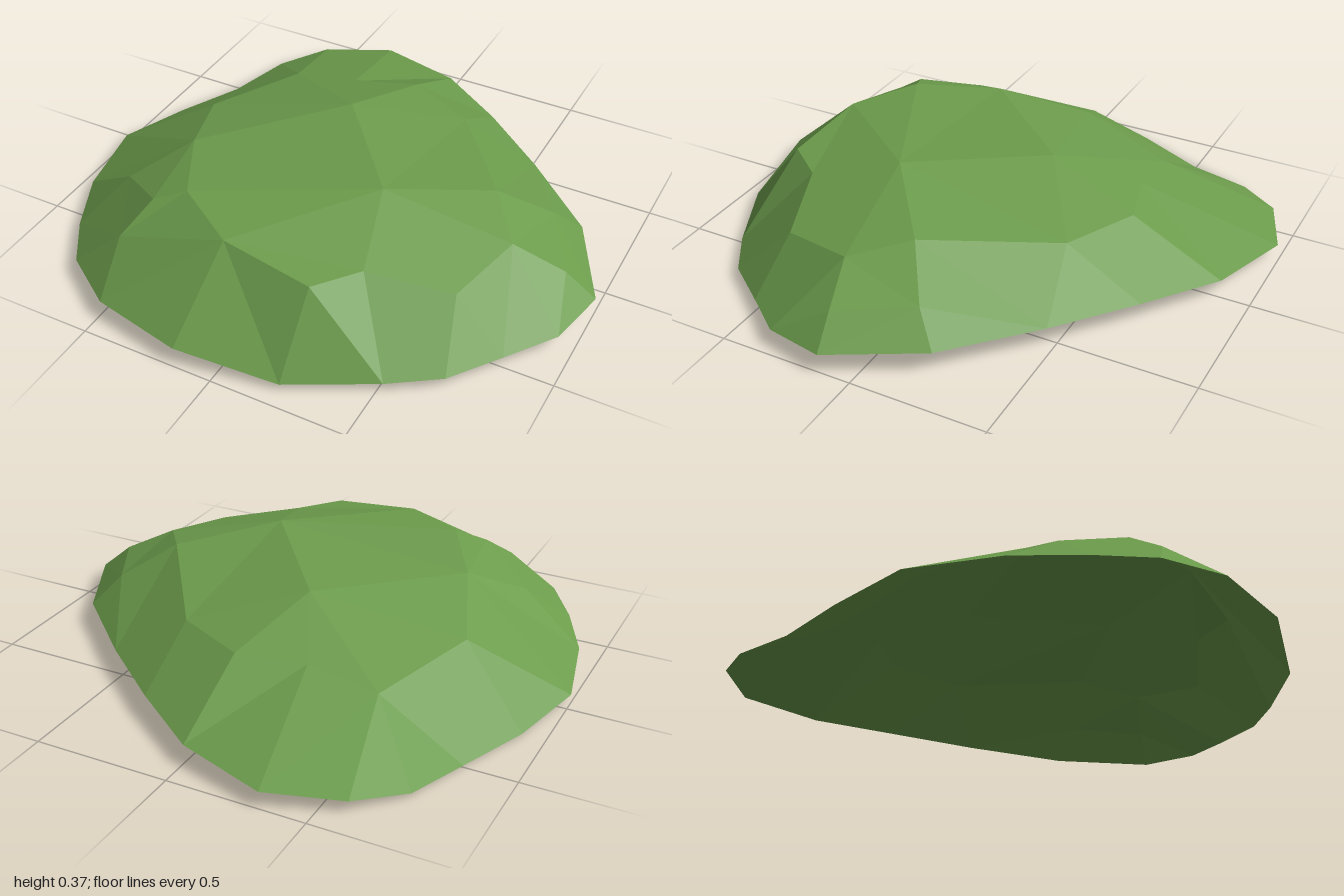
import * as THREE from 'three';

// Outer rim, clockwise seen from above: x, y, z
const rim = [
  [-0.33, 0.055, -0.99], [0, 0.07, -0.89], [0.27, 0.08, -0.70], [0.54, 0.08, -0.48],
  [0.83, 0.08, -0.21], [1.0, 0.07, 0.12], [0.95, 0.06, 0.34], [0.82, 0.045, 0.50],
  [0.69, 0.04, 0.67], [0.52, 0.035, 0.78], [0.22, 0.025, 0.93], [-0.15, 0.065, 0.985],
  [-0.49, 0.07, 0.915], [-0.70, 0.06, 0.77], [-0.82, 0.05, 0.59], [-0.93, 0.045, 0.36],
  [-1.0, 0.035, 0.04], [-0.92, 0.01, -0.24], [-0.81, 0, -0.49], [-0.73, 0.015, -0.73],
  [-0.59, 0.04, -0.89],
];

// Bumps and ridges of the dome
const dome = [
  [-0.10, 0.335, -0.19], [0.25, 0.365, 0.25], [0.57, 0.30, 0.0], [0.75, 0.18, -0.12],
  [0.71, 0.255, 0.19], [0.89, 0.165, 0.14], [0.63, 0.22, 0.47], [0.34, 0.28, 0.57],
  [0.22, 0.28, 0.72], [-0.12, 0.32, 0.69], [-0.36, 0.335, 0.54], [-0.47, 0.295, 0.59],
  [-0.53, 0.20, 0.72], [-0.69, 0.205, 0.43], [-0.52, 0.31, 0.25], [-0.65, 0.225, -0.08],
  [-0.50, 0.18, -0.48], [-0.24, 0.225, -0.48], [0, 0.24, -0.55], [0.27, 0.24, -0.42],
];

// Delaunay triangulation of the points in plan (x, z)
function triangulate(points) {
  const n = points.length;
  const p = [...points, [-30, 0, -20], [30, 0, -20], [0, 0, 40]];
  const inCircle = (t, d) => {
    const [a, b, c] = t.map((i) => [p[i][0] - d[0], p[i][2] - d[2]]);
    const s = (v) => v[0] * v[0] + v[1] * v[1];
    const cross = (u, v) => u[0] * v[1] - u[1] * v[0];
    return s(a) * cross(b, c) + s(b) * cross(c, a) + s(c) * cross(a, b) > 0;
  };
  let tris = [[n, n + 1, n + 2]];
  for (let i = 0; i < n; i++) {
    const bad = tris.filter((t) => inCircle(t, p[i]));
    const edges = bad.flatMap(([a, b, c]) => [[a, b], [b, c], [c, a]]);
    const border = edges.filter(([a, b]) => !edges.some(([c, d]) => c === b && d === a));
    tris = tris.filter((t) => !bad.includes(t));
    border.forEach(([a, b]) => tris.push([a, b, i]));
  }
  return tris.filter((t) => t.every((i) => i < n));
}

export function createModel() {
  const leafGreen = new THREE.MeshStandardMaterial({
    color: 0x6c9c4c, flatShading: true, side: THREE.DoubleSide,
  });
  leafGreen.name = 'leafGreen';

  // Faceted open shell; triangles made only of rim points lie outside it
  const points = [...rim, ...dome];
  const faces = triangulate(points).filter((t) => t.some((i) => i >= rim.length));
  const geometry = new THREE.BufferGeometry();
  const corners = faces.flatMap(([a, b, c]) => [a, c, b]).flatMap((i) => points[i]);
  geometry.setAttribute('position', new THREE.Float32BufferAttribute(corners, 3));
  geometry.computeVertexNormals();

  const shell = new THREE.Mesh(geometry, leafGreen);
  shell.name = 'foliageShell';
  const group = new THREE.Group();
  group.name = 'foliageCanopy';
  group.add(shell);
  return group;
}
